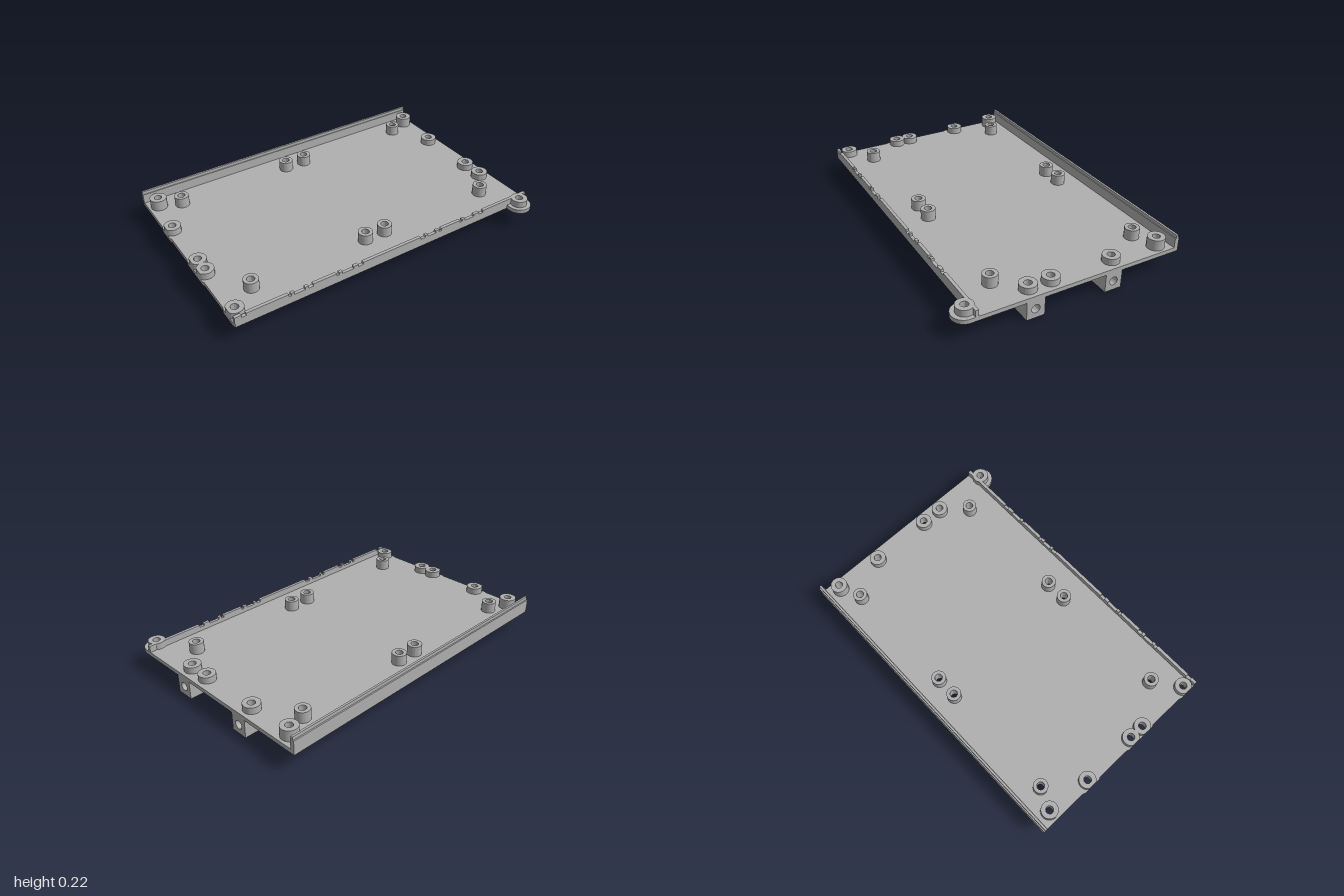
import * as THREE from 'three';
import { toCreasedNormals } from 'three/addons/utils/BufferGeometryUtils.js';

const BOTTOM = 0.11, FLOOR = 0.135, HOLE = 0.022;

// Standoffs: [x, z, outer radius, top height]
const standoffs = [
  [-0.93, -0.575, 0.05, 0.2], [0.935, -0.575, 0.05, 0.2],
  [-0.957, -0.3, 0.05, 0.175], [-0.957, 0.056, 0.05, 0.175],
  [-0.957, 0.152, 0.05, 0.175], [-0.957, 0.505, 0.05, 0.175],
  [0.928, -0.276, 0.05, 0.175], [0.928, 0.107, 0.05, 0.175],
  [0.928, 0.243, 0.05, 0.175], [0.928, 0.602, 0.05, 0.175],
];
for (const x of [-0.802, -0.07, 0.064, 0.797])
  for (const z of [-0.52, 0.388]) standoffs.push([x, z, 0.043, 0.2]);

const extrude = (shape, depth) =>
  new THREE.ExtrudeGeometry(shape, { depth, bevelEnabled: false, curveSegments: 32 });

// Shape drawn in (x, -z), raised from y0 to y1
const raise = (shape, y0, y1) =>
  extrude(shape, y1 - y0).rotateX(-Math.PI / 2).translate(0, y0, 0);

const polygon = (points) => new THREE.Shape(points.map(([x, y]) => new THREE.Vector2(x, y)));

function rectangle(x0, y0, x1, y1) {
  return polygon([[x0, y0], [x1, y0], [x1, y1], [x0, y1]]);
}

function addHole(shape, x, y, r) {
  shape.holes.push(new THREE.Path().absarc(x, y, r, 0, Math.PI * 2, true));
}

export function createModel() {
  const group = new THREE.Group();
  const grey = new THREE.MeshStandardMaterial({ color: 0xb0b0b0 });
  grey.name = 'grey plastic';

  function add(name, geometry) {
    const mesh = new THREE.Mesh(toCreasedNormals(geometry, 0.6), grey);
    mesh.name = name;
    group.add(mesh);
  }

  // Base plate with slight bulges on its right edge and a round tab at the front left
  const plate = new THREE.Shape();
  plate.moveTo(-0.994, 0.68);
  for (const [z0, z1] of [[-0.37, -0.23], [-0.01, 0.215], [0.44, 0.58]]) {
    plate.lineTo(-0.994, -z0);
    plate.lineTo(-1, -z0 - 0.012);
    plate.lineTo(-1, -z1 + 0.012);
    plate.lineTo(-0.994, -z1);
  }
  plate.lineTo(0.855, -0.58);
  plate.lineTo(0.855, -0.605);
  plate.absarc(0.9275, -0.605, 0.0725, Math.PI, Math.PI * 2, false);
  plate.lineTo(1, 0.68);
  for (const [x, z] of standoffs) addHole(plate, x, -z, HOLE);
  add('basePlate', raise(plate, BOTTOM, FLOOR));

  // Hollow standoffs, trimmed flush with the right edge
  for (const [x, z, r, top] of standoffs) {
    const ring = new THREE.Shape().absarc(x, -z, r, 0, Math.PI * 2, false);
    addHole(ring, x, -z, HOLE);
    const geometry = raise(ring, FLOOR, top);
    const p = geometry.attributes.position;
    for (let i = 0; i < p.count; i++) p.setX(i, Math.max(-1, p.getX(i)));
    add('standoff', geometry);
  }

  // Rear wall with a thin ridge on top
  add('rearWall', raise(rectangle(-0.996, 0.654, 1, 0.68), FLOOR, 0.195));
  add('rearRidge', raise(rectangle(-0.996, 0.659, 1, 0.672), 0.195, 0.215));

  // Low front wall with notches in its upper edge
  const notches = [
    [-0.957, -0.93], [-0.685, -0.67], [-0.65, -0.585], [-0.565, -0.535],
    [-0.39, -0.372], [-0.353, -0.28], [-0.25, -0.217],
    [0.18, 0.215], [0.232, 0.29], [0.315, 0.332],
    [0.473, 0.49], [0.51, 0.58], [0.62, 0.653],
  ];
  const outline = [[1, FLOOR], [-0.996, FLOOR], [-0.996, 0.175]];
  for (const [a, b] of notches) outline.push([a, 0.175], [a, 0.16], [b, 0.16], [b, 0.175]);
  outline.push([1, 0.175]);
  add('frontWall', extrude(polygon(outline.reverse()), 0.019).translate(0, 0, 0.561));

  // Mounting blocks: a vertical bore, met by a bore from the outer side
  for (const [z0, z1, boreZ] of [[0.182, 0.29, 0.243], [-0.301, -0.197, -0.276]]) {
    const inner = rectangle(0.855, -z1, 0.951, -z0);
    addHole(inner, 0.928, -boreZ, HOLE);
    add('mountingBlock', raise(inner, 0, BOTTOM));

    const outer = rectangle(-z1, 0, -z0, BOTTOM);
    addHole(outer, -(z0 + z1) / 2, 0.056, 0.025);
    add('mountingBlockSide', extrude(outer, 0.049).rotateY(Math.PI / 2).translate(0.951, 0, 0));
  }

  return group;
}
